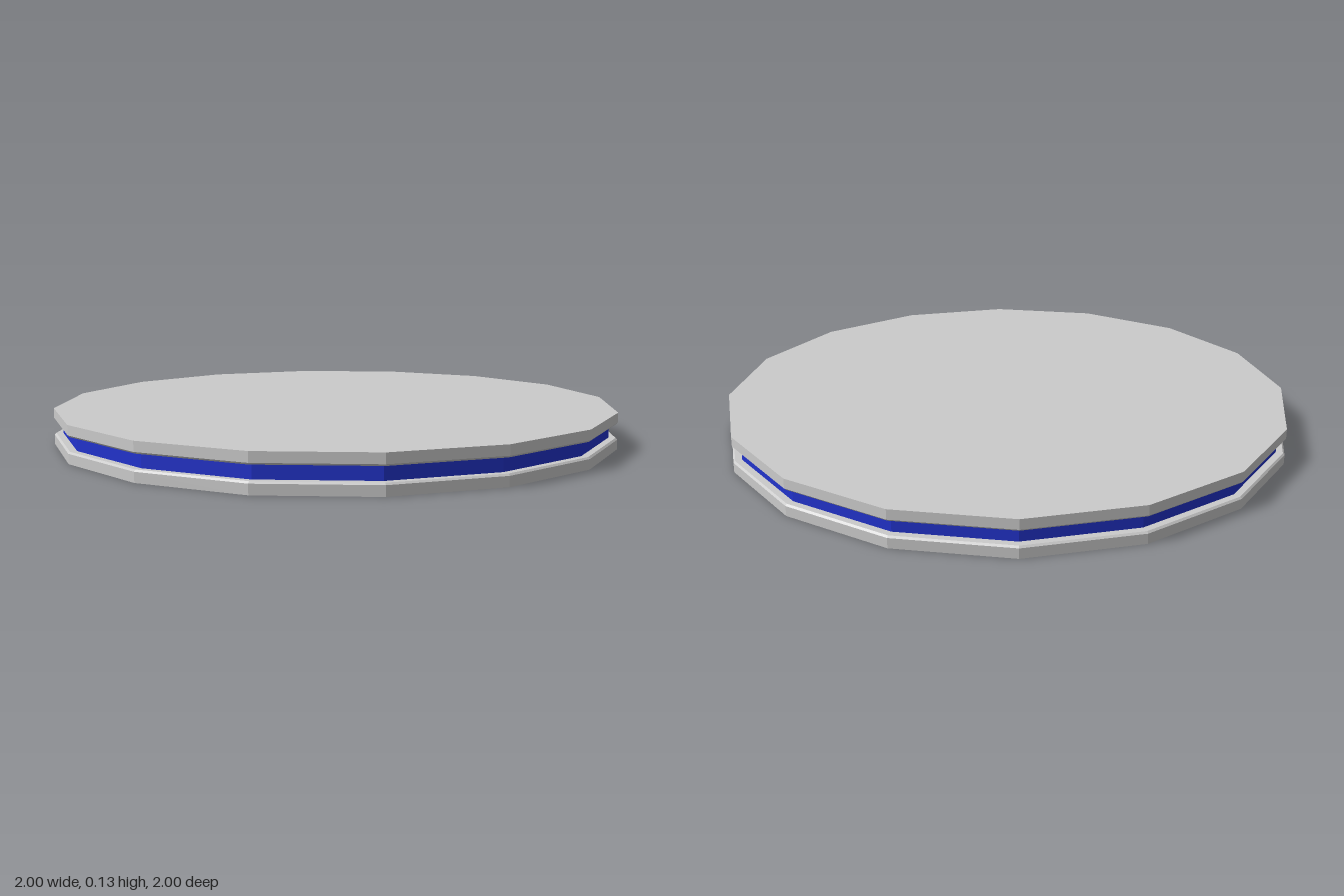
import * as THREE from 'three';

const SIDES = 16;

// Faceted solid of revolution; profile runs from bottom axis to top axis
function facetedDisc(name, profile, color) {
  const points = profile.map(([r, y]) => new THREE.Vector2(r, y));
  const material = new THREE.MeshStandardMaterial({ color, flatShading: true });
  const mesh = new THREE.Mesh(new THREE.LatheGeometry(points, SIDES), material);
  mesh.name = name;
  return mesh;
}

export function createModel() {
  const group = new THREE.Group();
  group.name = 'layeredDisc';

  const height = 0.128, plate = 0.04, bevel = 0.006;

  // Lower plate, slightly bevelled on its inner edge
  const lower = [[0, 0], [1, 0], [1, plate - bevel], [1 - bevel, plate], [0, plate]];
  group.add(facetedDisc('bottomPlate', lower, 0xcccccc));

  // Upper plate mirrors the lower one
  const upper = lower.map(([r, y]) => [r, height - y]).reverse();
  group.add(facetedDisc('topPlate', upper, 0xcccccc));

  // Recessed coloured core between the plates
  const core = [[0, plate], [0.97, plate], [0.97, height - plate], [0, height - plate]];
  group.add(facetedDisc('core', core, 0x2233cc));

  return group;
}
